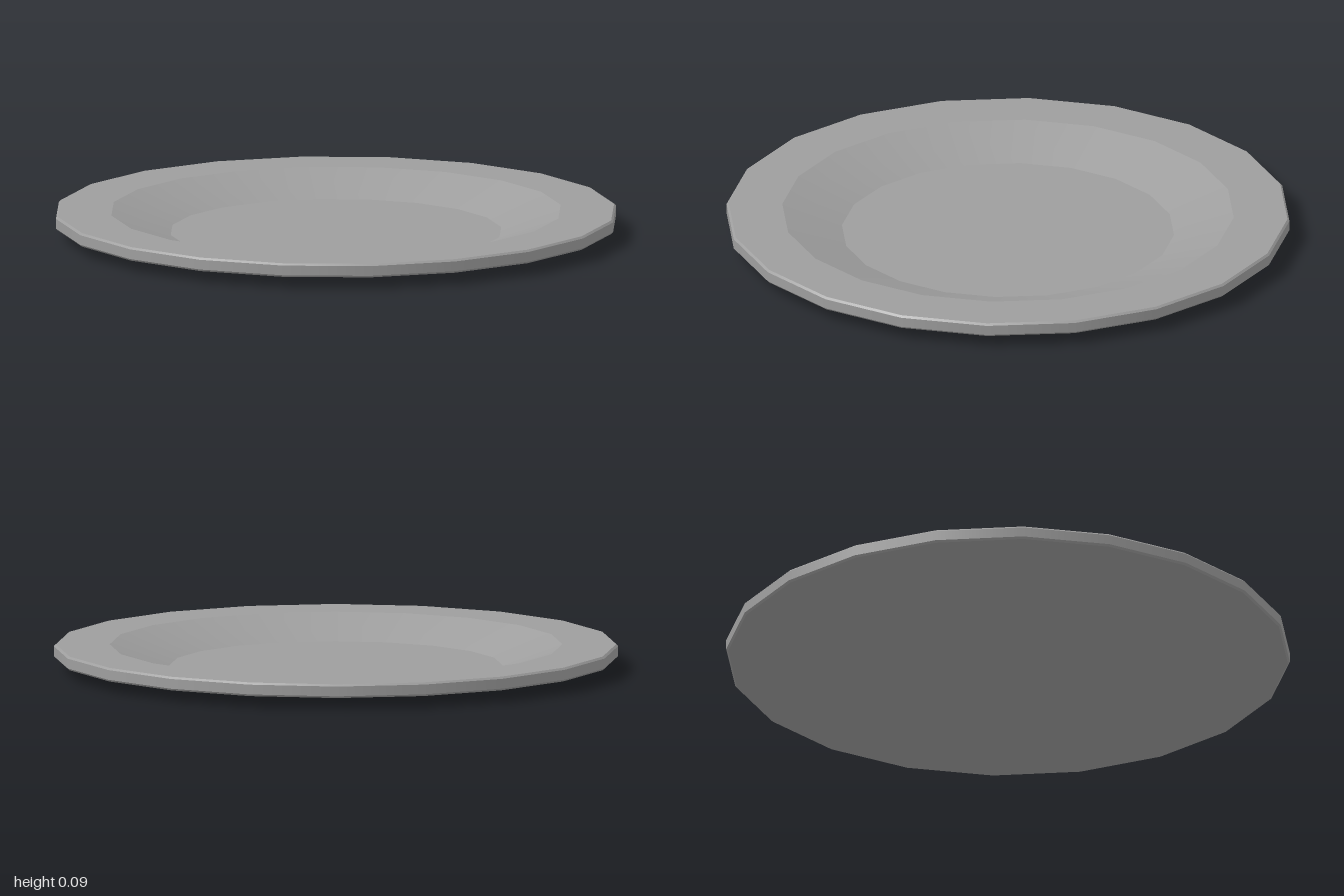
import * as THREE from 'three';
import { mergeGeometries } from 'three/addons/utils/BufferGeometryUtils.js';

const SIDES = 20;
const material = new THREE.MeshStandardMaterial({ color: 0x9e9e9e });

// Each band is smooth within itself and meets the next at a crisp edge.
function turned(name, ...bands) {
  const parts = bands.map((band) =>
    new THREE.LatheGeometry(band.map(([r, y]) => new THREE.Vector2(r, y)), SIDES));
  const mesh = new THREE.Mesh(mergeGeometries(parts), material);
  mesh.name = name;
  return mesh;
}

// Flat disc, facing up (1) or down (-1).
function disc(name, radius, y, facing) {
  const mesh = new THREE.Mesh(new THREE.CircleGeometry(radius, SIDES), material);
  mesh.rotation.x = -facing * Math.PI / 2;
  mesh.position.y = y;
  mesh.name = name;
  return mesh;
}

export function createModel() {
  const plate = new THREE.Group();
  plate.name = 'plate';

  const foot = 0.59, well = 0.802, edge = 0.993;
  const floorY = 0.015, rimBottom = 0.041, rimTop = 0.09, bevel = 0.007;

  // corners of the rim edge, from the underside to the top
  const lower = [edge, rimBottom];
  const wallLow = [1, rimBottom + bevel];
  const wallHigh = [1, rimTop - bevel];
  const upper = [edge, rimTop];
  const lip = [well, rimTop];

  plate.add(
    // flat base, and an underside that flows softly into the rim
    disc('base', foot, 0, -1),
    turned('underside', [[foot, 0], [well, rimBottom], lower]),
    // rim: lower bevel, wall, upper bevel, flat top
    turned('rim', [lower, wallLow], [wallLow, wallHigh], [wallHigh, upper], [upper, lip]),
    // sunken well and its floor
    turned('wellSlope', [lip, [foot, floorY]]),
    disc('wellFloor', foot, floorY, 1),
  );
  return plate;
}
